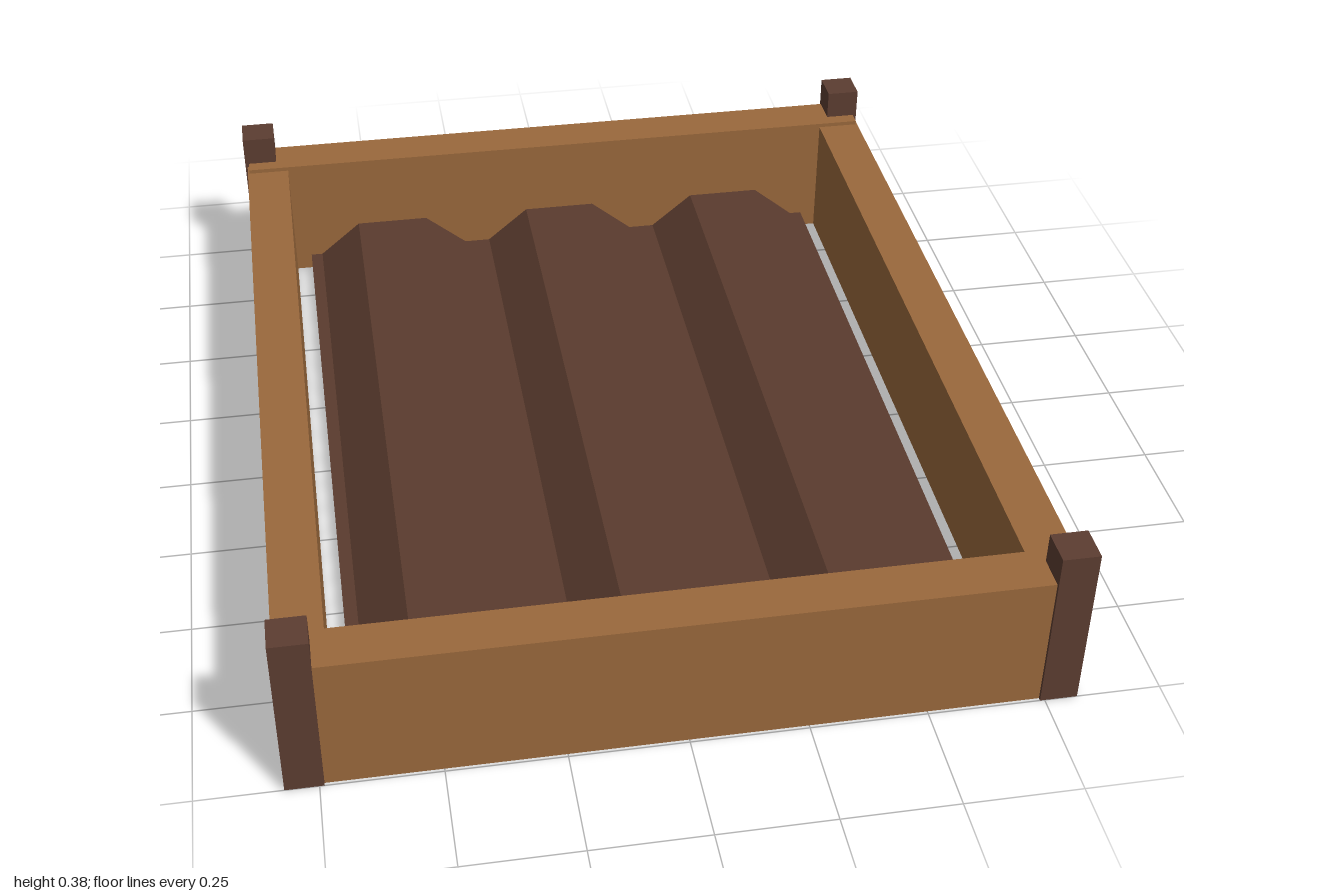
import * as THREE from 'three';

export function createModel() {
  const group = new THREE.Group();
  const mat = (name, color) => {
    const m = new THREE.MeshStandardMaterial({ color });
    m.name = name;
    return m;
  };
  const plank = mat('plank wood', 0x9a683c);
  const postWood = mat('dark post wood', 0x5c3d31);
  const earth = mat('soil brown', 0x5a3b2e);

  const add = (name, geometry, material, x = 0, y = 0, z = 0) => {
    const mesh = new THREE.Mesh(geometry, material);
    mesh.name = name;
    mesh.position.set(x, y, z);
    group.add(mesh);
  };
  // Box standing on the ground
  const box = (name, material, w, h, d, x, z) =>
    add(name, new THREE.BoxGeometry(w, h, d), material, x, h / 2, z);

  // Frame boards and corner posts
  for (const s of [-1, 1]) {
    const side = s > 0 ? 'left' : 'right';
    const end = s > 0 ? 'front' : 'back';
    box(end + 'Board', plank, 1.622, 0.315, 0.107, 0, s * 0.9395);
    box(side + 'Board', plank, 0.104, 0.305, 1.86, s * 0.763, 0);
    for (const t of [-1, 1]) {
      box(side + (t > 0 ? 'Front' : 'Back') + 'Post', postWood,
        0.08, 0.385, 0.08, s * 0.78, t * 0.96);
    }
  }

  // Soil bed: flat base with three furrow ridges, extruded along the bed
  const base = 0.04, crest = 0.125;
  const profile = new THREE.Shape();
  profile.moveTo(-0.672, 0.002);
  profile.lineTo(0.672, 0.002);
  profile.lineTo(0.672, base);
  for (const c of [0.45, 0, -0.45]) {
    profile.lineTo(c + 0.193, base);
    profile.lineTo(c + 0.09, crest);
    profile.lineTo(c - 0.09, crest);
    profile.lineTo(c - 0.193, base);
  }
  profile.lineTo(-0.672, base);
  profile.closePath();
  const soil = new THREE.ExtrudeGeometry(profile, { depth: 1.78, bevelEnabled: false });
  add('furrowedSoil', soil, earth, 0, 0, -0.89);

  return group;
}
